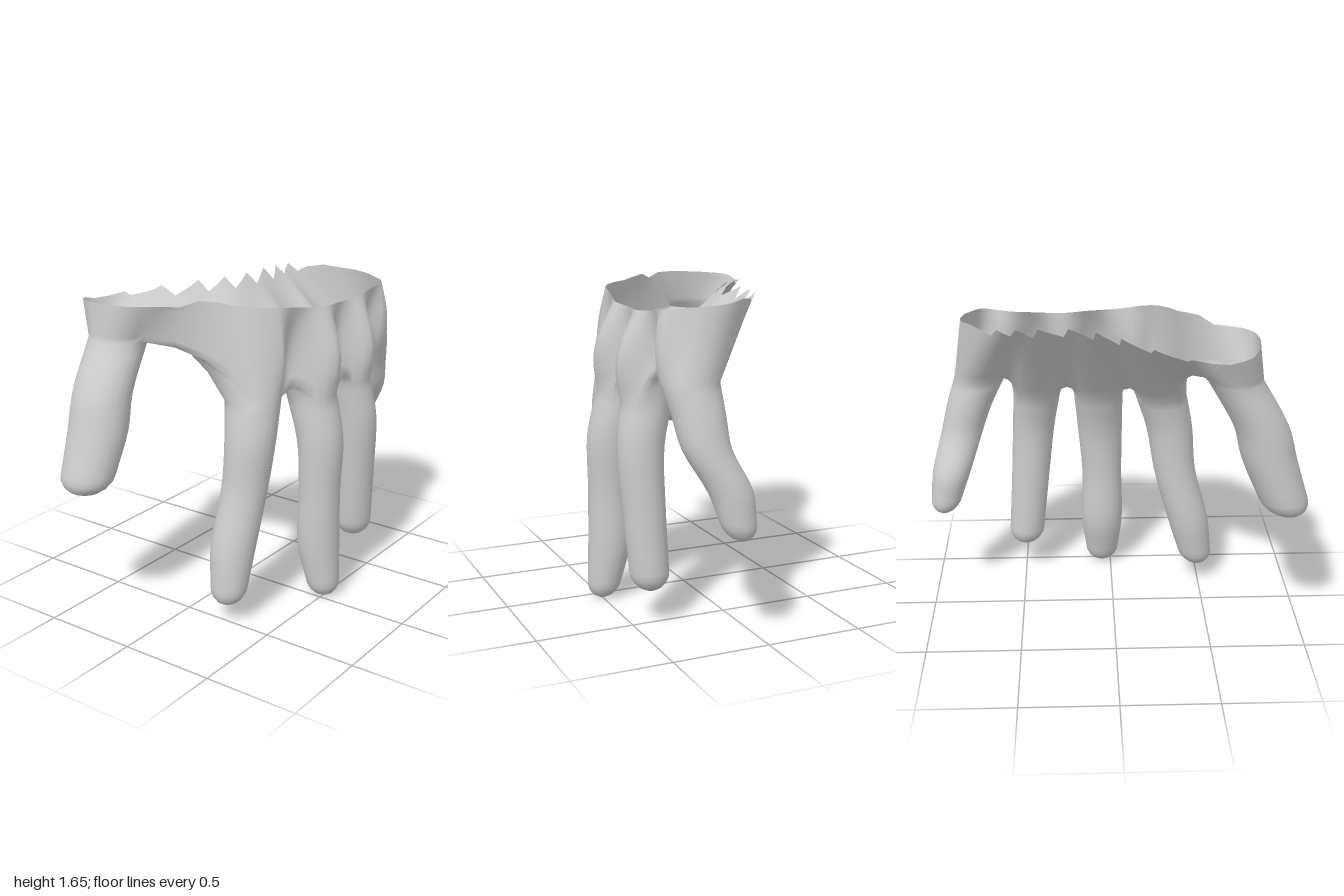
import * as THREE from 'three';

// Each finger: angle its back faces, depth to width, and slices from knuckle to fingertip [x, y, z, radius]
const LITTLE = { name: 'littleFinger', turn: 0, depth: 0.95, slices: [
  [0.29, 1.25, -0.715, 0.145], [0.27, 1.1, -0.775, 0.13], [0.25, 0.95, -0.82, 0.12],
  [0.155, 0.75, -0.88, 0.11], [0.13, 0.615, -0.91, 0.09]] };
const RING = { name: 'ringFinger', turn: 0, depth: 1, slices: [
  [0.38, 1.12, -0.41, 0.13], [0.425, 0.9, -0.435, 0.118], [0.42, 0.6, -0.46, 0.108], [0.405, 0.27, -0.488, 0.1]] };
const MIDDLE = { name: 'middleFinger', turn: 0, depth: 1.05, slices: [
  [0.375, 1.12, -0.07, 0.13], [0.44, 0.88, -0.06, 0.12], [0.45, 0.6, -0.05, 0.108],
  [0.45, 0.3, -0.05, 0.112], [0.48, 0.1, -0.05, 0.09]] };
const INDEX = { name: 'indexFinger', turn: 0, depth: 0.97, slices: [
  [0.245, 1.15, 0.27, 0.145], [0.265, 0.95, 0.32, 0.132], [0.255, 0.7, 0.353, 0.12],
  [0.24, 0.4, 0.433, 0.118], [0.245, 0.2, 0.475, 0.098]] };
const THUMB = { name: 'thumb', turn: 0.92, depth: 0.88, slices: [
  [-0.345, 1.45, 0.59, 0.157], [-0.34, 1.2, 0.73, 0.158], [-0.335, 1.02, 0.78, 0.16], [-0.34, 0.805, 0.86, 0.145]] };
const FINGERS = [LITTLE, RING, MIDDLE, INDEX, THUMB];

// Open rim: over the backs of the five fingers, round the thumb, back along the palm, round the little finger
const RIM = [
  [0.41, 1.59, -0.7], [0.43, 1.56, -0.42], [0.42, 1.57, -0.1], [0.34, 1.62, 0.24], [-0.21, 1.64, 0.7],
  [-0.55, 1.62, 0.62], [-0.51, 1.6, 0.38], [-0.28, 1.61, 0.08], [-0.14, 1.62, -0.15], [-0.12, 1.62, -0.42],
  [-0.1, 1.62, -0.6], [0.15, 1.61, -0.79],
];

const SIDES = 20;      // points round a finger, five to each quarter
const ARC = 5;
const WEB = 4;         // segments across the webbing
const WALL = 7;        // rows up the palm wall
const TIP = 0.1;       // height of the rounded fingertip
const TIP_RINGS = 5;

export function createModel() {
  const positions = [];
  const faces = { palm: [], webbing: [] };
  const addPoint = (p) => positions.push(p.x, p.y, p.z) / 3 - 1;
  const pointAt = (i) => new THREE.Vector3().fromArray(positions, i * 3);
  const quad = (list, a, b, c, d) => list.push(a, b, c, a, c, d);

  // Fingers: rings from knuckle down to a domed tip; returns the knuckle ring
  const knuckles = FINGERS.map(({ name, turn, depth, slices }) => {
    const list = (faces[name] = []);
    const rings = [];
    const addRing = (c, radius) => rings.push(Array.from({ length: SIDES }, (_, k) => {
      const a = turn - Math.PI / 4 + (k / SIDES) * Math.PI * 2;
      return addPoint(new THREE.Vector3(c.x + radius * Math.cos(a), c.y, c.z + radius * depth * Math.sin(a)));
    }));
    const centre = new THREE.CatmullRomCurve3(slices.map((s) => new THREE.Vector3(s[0], s[1], s[2])));
    const width = new THREE.CatmullRomCurve3(slices.map((s) => new THREE.Vector3(s[3], s[1], 0)));
    const steps = (slices.length - 1) * 4;
    for (let r = 0; r <= steps; r++) addRing(centre.getPoint(r / steps), width.getPoint(r / steps).x);

    // Dome carries on along the finger's last direction
    const end = centre.getPoint(1), lean = centre.getTangent(1);
    lean.multiplyScalar(TIP / -lean.y);
    for (let r = 1; r < TIP_RINGS; r++) {
      const a = (r / TIP_RINGS) * Math.PI / 2;
      addRing(end.clone().addScaledVector(lean, Math.sin(a)), width.getPoint(1).x * Math.cos(a));
    }
    const tip = addPoint(end.add(lean));
    const last = rings.length - 1;
    for (let k = 0; k < SIDES; k++) {
      const n = (k + 1) % SIDES;
      for (let r = 0; r < last; r++) quad(list, rings[r][k], rings[r][n], rings[r + 1][n], rings[r + 1][k]);
      list.push(rings[last][k], rings[last][n], tip);
    }
    return rings[0];
  });

  // Webbing: arched strips joining the facing sides of neighbouring knuckles, the thumb's drawn inwards
  const webs = [];
  for (let f = 0; f < 4; f++) {
    const rows = [];
    for (let k = 0; k <= ARC; k++) {
      const from = knuckles[f][ARC + k], to = knuckles[f + 1][(SIDES - k) % SIDES];
      const row = [from];
      for (let m = 1; m < WEB; m++) {
        const t = m / WEB, p = pointAt(from).lerp(pointAt(to), t);
        p.y += 0.24 * t * (1 - t);
        if (f === 3) p.z -= 0.2 * t * (1 - t);
        row.push(addPoint(p));
      }
      rows.push([...row, to]);
    }
    for (let k = 0; k < ARC; k++)
      for (let m = 0; m < WEB; m++)
        quad(faces.webbing, rows[k][m], rows[k][m + 1], rows[k + 1][m + 1], rows[k + 1][m]);
    webs.push(rows);
  }

  // Foot of the palm wall: one closed loop over knuckles and webs, u is the place along the rim
  const foot = [];
  const arc = (f, start, u) => {
    for (let k = 0; k <= ARC; k++) foot.push({ id: knuckles[f][start + k], u: u + (k - 2.5) / 9 });
  };
  const web = (ids, u) => ids.forEach((id, i) => foot.push({ id, u: u + (i + 3.5) / 9 }));
  const outerSide = (f, start, u) => {
    for (let k = 1; k < ARC; k++) foot.push({ id: knuckles[f][start + k], u: u + (k - 2.5) * 0.289 });
  };
  for (let f = 0; f < 5; f++) {
    arc(f, 0, f);
    if (f < 4) web(webs[f][0].slice(1, WEB), f);
  }
  outerSide(4, ARC, 5);
  for (let f = 4; f >= 0; f--) {
    arc(f, 2 * ARC, 10 - f);
    if (f > 0) web(webs[f - 1][ARC].slice(1, WEB).reverse(), 10 - f);
  }
  outerSide(0, 3 * ARC, 11);

  // Palm wall: columns rising to the rim, knuckles and valleys on the back, a ragged edge on the palm side
  const rim = new THREE.CatmullRomCurve3(RIM.map((p) => new THREE.Vector3(...p)), true);
  const columns = foot.map(({ id, u }, j) => {
    const base = pointAt(id), top = rim.getPoint(((u + 12) % 12) / 12);
    const valley = Math.sin(Math.PI * u) ** 2;
    let relief = 0;
    if (u < 3) {
      top.x -= 0.02 * valley;
      relief = 0.07 * (1 - valley) * Math.max(0, Math.sin((Math.PI * (u + 0.5)) / 4)) - 0.03 * valley;
    } else if (u < 4) {
      top.x -= 0.04 * valley;
      top.z -= 0.07 * valley;
    }
    const ragged = (u > 5.4 && u < 10.6) || (u > 3.35 && u < 3.85);
    const tooth = ragged ? 0.03 * (j % 5) - 0.06 : 0;
    const column = [id];
    for (let r = 1; r <= WALL; r++) {
      const t = r / WALL + (r === WALL ? tooth : 0);
      const p = base.clone().lerp(top, t);
      p.x += relief * Math.sin(Math.PI * Math.min(t, 1));
      column.push(addPoint(p));
    }
    return column;
  });
  columns.forEach((col, j) => {
    const next = columns[(j + 1) % columns.length];
    for (let r = 0; r < WALL; r++) quad(faces.palm, col[r + 1], next[r + 1], next[r], col[r]);
  });

  // Smooth normals over the whole skin, then one mesh per part
  const skin = new THREE.BufferGeometry();
  skin.setAttribute('position', new THREE.Float32BufferAttribute(positions, 3));
  skin.setIndex(Object.values(faces).flat());
  skin.computeVertexNormals();
  const material = new THREE.MeshStandardMaterial({ color: 0xcccccc, side: THREE.DoubleSide });
  const hand = new THREE.Group();
  hand.name = 'hand';
  for (const [name, list] of Object.entries(faces)) {
    const geometry = new THREE.BufferGeometry();
    geometry.setAttribute('position', skin.attributes.position);
    geometry.setAttribute('normal', skin.attributes.normal);
    geometry.setIndex(list);
    const mesh = new THREE.Mesh(geometry, material);
    mesh.name = name;
    hand.add(mesh);
  }
  return hand;
}
